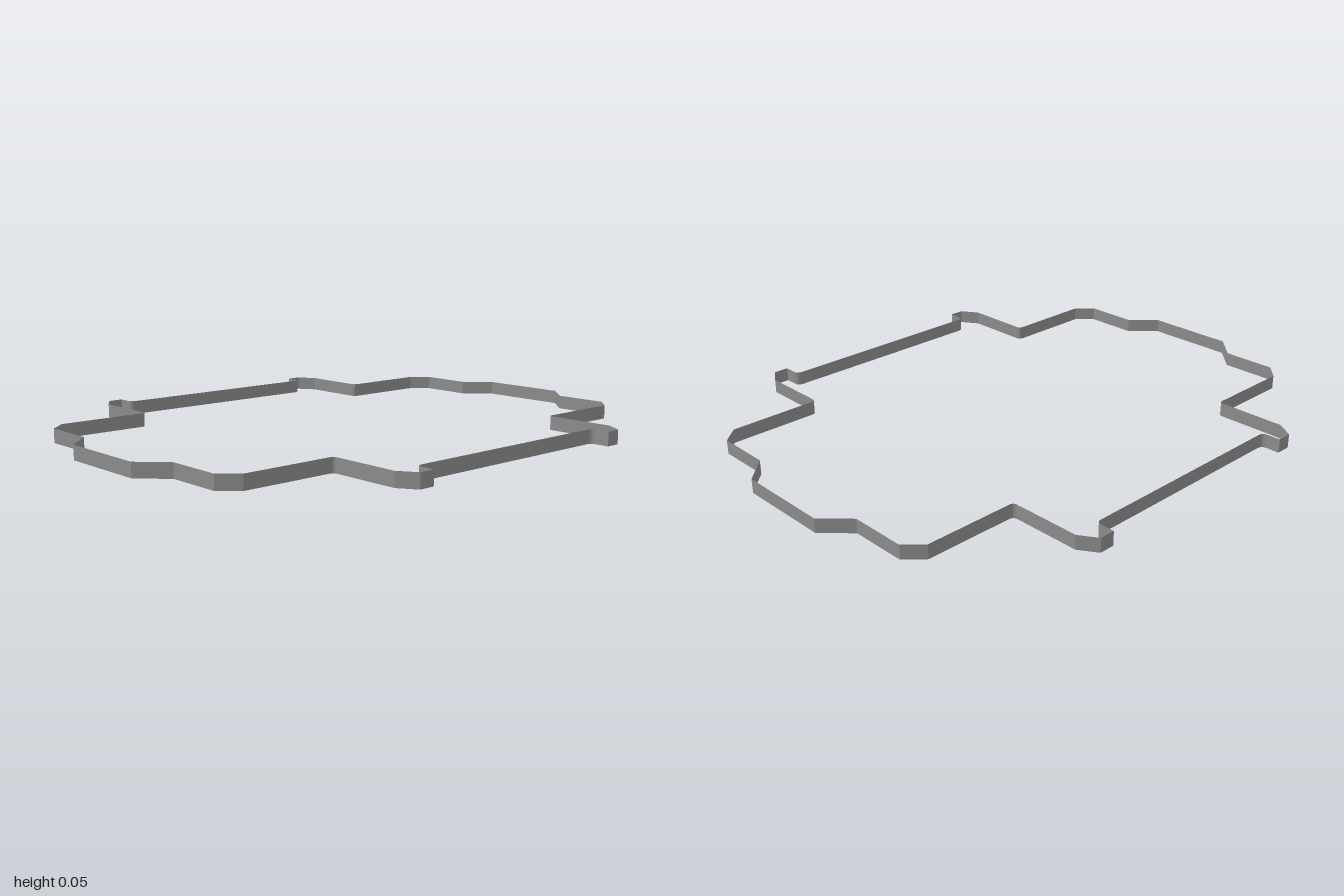
import * as THREE from 'three';

const HEIGHT = 0.05;

// One quarter of the outline (x, z), from the front middle round to the side.
function quarterOutline() {
  const pts = [
    [0.168, 1], [0.257, 0.912], [0.457, 0.912], [0.512, 0.852],
    [0.512, 0.528], [0.516, 0.519], [0.525, 0.515],
    [0.77, 0.515], [0.832, 0.475], [0.832, 0.42],
  ].map(([x, z]) => new THREE.Vector2(x, z));
  // rounded inner corner where the tab meets the long side
  const bend = new THREE.QuadraticBezierCurve(
    new THREE.Vector2(0.785, 0.42), new THREE.Vector2(0.763, 0.42), new THREE.Vector2(0.763, 0.398));
  return [...pts, ...bend.getPoints(4)];
}

// Mirror the quarter into a closed loop.
function fullOutline() {
  const q = quarterOutline();
  const mirror = (list, sx, sz) => list.map(p => new THREE.Vector2(p.x * sx, p.y * sz));
  const r = [...q].reverse();
  return [...q, ...mirror(r, 1, -1), ...mirror(q, -1, -1), ...mirror(r, -1, 1)];
}

// Upright open band following the outline, one flat panel per segment.
function bandGeometry(loop, height) {
  const pos = [];
  loop.forEach((a, i) => {
    const b = loop[(i + 1) % loop.length];
    pos.push(a.x, 0, a.y, b.x, 0, b.y, b.x, height, b.y);
    pos.push(a.x, 0, a.y, b.x, height, b.y, a.x, height, a.y);
  });
  const geo = new THREE.BufferGeometry();
  geo.setAttribute('position', new THREE.Float32BufferAttribute(pos, 3));
  geo.computeVertexNormals();
  return geo;
}

export function createModel() {
  const group = new THREE.Group();
  group.name = 'outlineFrame';
  const grey = new THREE.MeshStandardMaterial({ color: 0x8c8c8c, side: THREE.DoubleSide });
  grey.name = 'grey';
  const wall = new THREE.Mesh(bandGeometry(fullOutline(), HEIGHT), grey);
  wall.name = 'perimeterWall';
  group.add(wall);
  return group;
}
